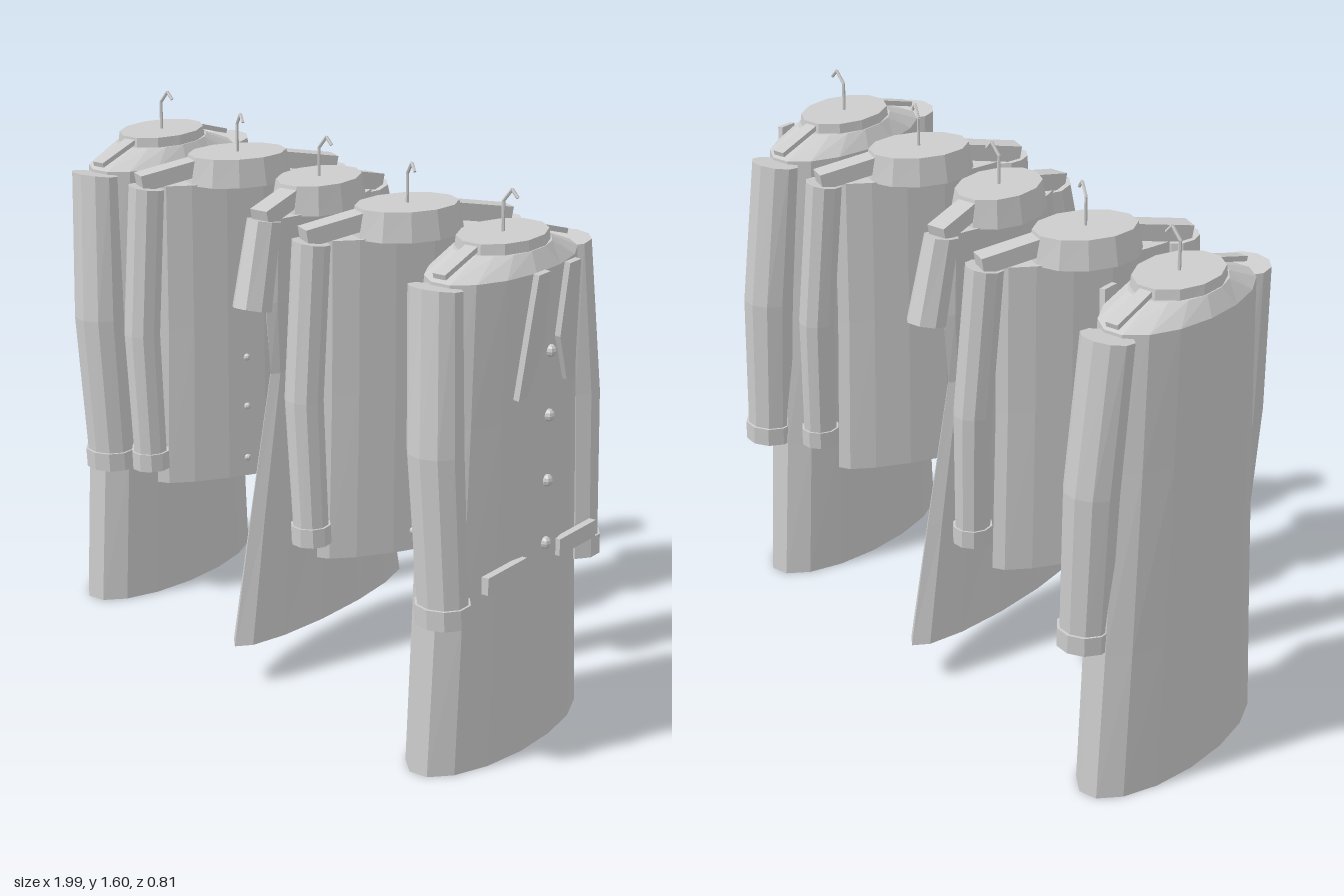
import * as THREE from 'three';

const SIDES = 12;

// Closed solid through elliptical sections [y, x, z, radiusX, radiusZ, tilt]
function loft(sections, sides = SIDES) {
  const pos = [];
  const point = ([y, x, z, rx, rz, tilt = 0], i) => {
    const a = ((i + 0.5) / sides) * Math.PI * 2;
    const dz = rz * Math.sin(a);
    return [x + rx * Math.cos(a), y + tilt * dz, z + dz];
  };
  const first = sections[0], last = sections[sections.length - 1];
  for (let i = 0; i < sides; i++) {
    for (let s = 0; s < sections.length - 1; s++) {
      const b0 = point(sections[s], i), b1 = point(sections[s], i + 1);
      const t0 = point(sections[s + 1], i), t1 = point(sections[s + 1], i + 1);
      pos.push(...b0, ...t0, ...b1, ...b1, ...t0, ...t1);
    }
    pos.push(first[1], first[0], first[2], ...point(first, i), ...point(first, i + 1));
    pos.push(last[1], last[0], last[2], ...point(last, i + 1), ...point(last, i));
  }
  const g = new THREE.BufferGeometry();
  g.setAttribute('position', new THREE.Float32BufferAttribute(pos, 3));
  g.computeVertexNormals();
  return g;
}

export function createModel() {
  const model = new THREE.Group();
  model.name = 'hangingClothes';
  const cloth = new THREE.MeshStandardMaterial({ color: 0xcccccc, flatShading: true });
  cloth.name = 'lightGrey';

  const add = (parent, name, geometry, x = 0, y = 0, z = 0) => {
    const m = new THREE.Mesh(geometry, cloth);
    m.name = name;
    m.position.set(x, y, z);
    parent.add(m);
    return m;
  };

  // Mirror a lofted part to both sides of a garment
  const pair = (parent, name, sections, sides) => {
    for (const s of [1, -1]) {
      add(parent, name, loft(sections.map(([y, x, z, rx, rz, t = 0]) => [y, x, z * s, rx, rz, t * s]), sides));
    }
  };

  // Straight bar between two points
  const bar = (parent, name, a, b, makeGeometry) => {
    const from = new THREE.Vector3(...a), to = new THREE.Vector3(...b);
    const dir = to.clone().sub(from);
    const m = add(parent, name, makeGeometry(dir.length()));
    m.position.copy(from).addScaledVector(dir, 0.5);
    m.quaternion.setFromUnitVectors(new THREE.Vector3(0, 1, 0), dir.normalize());
  };

  // Bent wire hook above the collar
  const addHook = (g) => {
    const path = [[0, 1.47, 0], [0, 1.565, 0], [0.027, 1.6, 0], [0.046, 1.578, 0]];
    for (let i = 0; i < 3; i++) {
      bar(g, 'hook', path[i], path[i + 1], (l) => new THREE.CylinderGeometry(0.005, 0.005, l, 6));
    }
  };

  const addButtons = (g, heights, x, z, r) => {
    for (const y of heights) add(g, 'button', new THREE.SphereGeometry(r, 8, 6), x, y, z);
  };

  const addShoulderStraps = (g, z0, y0, z1, y1, width, thick) => {
    for (const s of [1, -1]) {
      bar(g, 'shoulderStrap', [0, y0, z0 * s], [0, y1, z1 * s], (l) => new THREE.BoxGeometry(width, l, thick));
    }
  };

  // Long coat with lapels, flap pockets and cuffs
  const makeCoat = () => {
    const g = new THREE.Group();
    g.name = 'coat';
    add(g, 'coatBody', loft([
      [0, 0, 0, 0.15, 0.375], [0.45, 0, 0, 0.15, 0.345], [1, 0, 0, 0.15, 0.315],
      [1.4, 0, 0, 0.152, 0.3], [1.45, 0, 0, 0.118, 0.17]], 16));
    add(g, 'coatCollar', loft([[1.42, 0, 0, 0.12, 0.162], [1.48, 0, 0, 0.112, 0.155]]));
    pair(g, 'coatSleeve', [
      [0.47, 0.05, 0.33, 0.074, 0.068], [0.95, 0.025, 0.342, 0.082, 0.074],
      [1.395, 0, 0.318, 0.08, 0.062, 0.15]], 10);
    pair(g, 'coatCuff', [[0.462, 0.05, 0.33, 0.081, 0.077], [0.52, 0.048, 0.332, 0.081, 0.077]], 10);
    addShoulderStraps(g, 0.15, 1.465, 0.3, 1.42, 0.04, 0.015);
    addButtons(g, [1.165, 0.98, 0.79, 0.605], 0.15, -0.02, 0.018);
    for (const s of [1, -1]) {
      const outline = [[0.104, 0], [0.049, 0], [0.04, -0.21], [0.1, -0.35], [0.14, -0.35]];
      const shape = new THREE.Shape(outline.map(([u, v]) => new THREE.Vector2(-u * s, v)));
      const lapel = add(g, 'lapel', new THREE.ExtrudeGeometry(shape, { depth: 0.018, bevelEnabled: false }),
        0.168, 1.412, 0);
      lapel.rotation.set(0, Math.PI / 2, 0.09 * -1, 'ZYX');
      add(g, 'pocketFlap', new THREE.BoxGeometry(0.022, 0.05, 0.19), 0.147, 0.57, 0.18 * s);
    }
    return g;
  };

  // Flat buttoned shirt with long sleeves
  const makeShirt = () => {
    const g = new THREE.Group();
    g.name = 'shirt';
    add(g, 'shirtBody', loft([
      [0.45, 0, 0, 0.06, 0.28], [0.95, 0, 0, 0.06, 0.27], [1.4, 0, 0, 0.06, 0.27]], 14));
    add(g, 'shirtCollar', loft([[1.395, 0, 0, 0.128, 0.17], [1.48, 0, 0, 0.112, 0.155]]));
    pair(g, 'shirtSleeve', [
      [0.53, 0.053, 0.32, 0.05, 0.052], [0.95, 0.025, 0.33, 0.058, 0.056],
      [1.4, 0.008, 0.3, 0.056, 0.055, 0.15]], 10);
    pair(g, 'shirtCuff', [[0.525, 0.053, 0.32, 0.057, 0.059], [0.58, 0.05, 0.321, 0.057, 0.059]], 10);
    addShoulderStraps(g, 0.12, 1.45, 0.32, 1.415, 0.06, 0.05);
    addButtons(g, [1.165, 1.0, 0.84, 0.68, 0.51], 0.06, 0, 0.011);
    return g;
  };

  // Flared dress with a narrow waist and short sleeves
  const makeDress = () => {
    const g = new THREE.Group();
    g.name = 'dress';
    add(g, 'dressBody', loft([
      [0.125, 0, 0, 0.085, 0.415], [0.5, 0, 0, 0.062, 0.335], [0.93, 0, 0, 0.042, 0.235],
      [1.15, 0, 0, 0.055, 0.255], [1.4, 0, 0, 0.06, 0.25]], 14));
    add(g, 'dressCollar', loft([[1.395, 0, 0, 0.125, 0.165], [1.48, 0, 0, 0.11, 0.15]]));
    pair(g, 'dressSleeve', [
      [1.15, 0.005, 0.325, 0.058, 0.06, 0.25], [1.4, 0, 0.26, 0.05, 0.055, 0.2]], 8);
    addShoulderStraps(g, 0.12, 1.45, 0.28, 1.41, 0.06, 0.05);
    return g;
  };

  // Garments along the rail, turned alternately
  [makeCoat, makeShirt, makeDress, makeShirt, makeCoat].forEach((make, i) => {
    const g = make();
    addHook(g);
    g.position.x = -0.83 + 0.4 * i;
    g.rotation.y = i % 2 ? -0.25 : 0.25;
    model.add(g);
  });
  return model;
}
